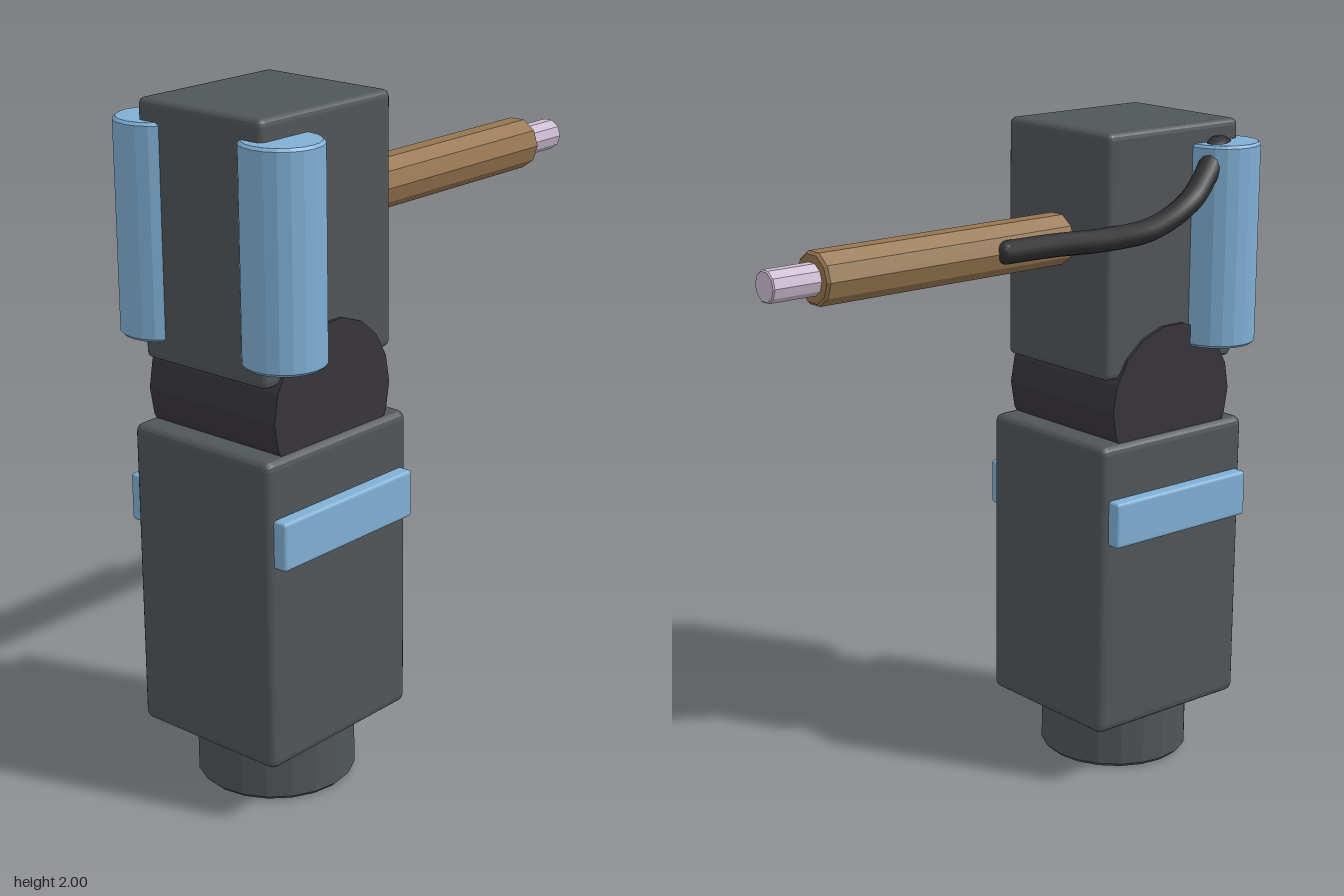
import * as THREE from 'three';
import { RoundedBoxGeometry } from 'three/addons/geometries/RoundedBoxGeometry.js';

function material(name, color, flat = false) {
  const m = new THREE.MeshStandardMaterial({ color, flatShading: flat });
  m.name = name;
  return m;
}

// Bevelled cylinder along y, centred on its origin
function rod(radius, length, sides, bevel) {
  const h = length / 2;
  const profile = [
    [0, -h], [radius - bevel, -h], [radius, -h + bevel],
    [radius, h - bevel], [radius - bevel, h], [0, h],
  ].map(([x, y]) => new THREE.Vector2(x, y));
  return new THREE.LatheGeometry(profile, sides);
}

export function createModel() {
  const model = new THREE.Group();
  model.name = 'jointedArm';
  const grey = material('casing grey', 0x505558, true);
  const dark = material('joint charcoal', 0x37353b, true);
  const blue = material('accent blue', 0x7fafd4, true);
  const brown = material('barrel bronze', 0x96754f, true);
  const lilac = material('tip lilac', 0xcbbbd0, true);
  const rubber = material('cable black', 0x2f2f32);

  function add(name, geometry, mat, x, y, z) {
    const mesh = new THREE.Mesh(geometry, mat);
    mesh.name = name;
    mesh.position.set(x, y, z);
    model.add(mesh);
    return mesh;
  }

  const axisX = -0.495;

  // Foot, lower casing, joint and upper casing
  add('base', rod(0.23, 0.19, 20, 0.012), grey, axisX, 0.095, 0);
  add('lowerCasing', new RoundedBoxGeometry(0.575, 0.91, 0.51, 2, 0.025), grey, -0.4925, 0.63, 0);
  const joint = new THREE.CylinderGeometry(0.235, 0.235, 0.47, 18);
  joint.rotateX(Math.PI / 2).rotateZ(Math.PI / 2);
  add('elbowJoint', joint, dark, axisX, 1.18, 0);
  add('upperCasing', new RoundedBoxGeometry(0.515, 0.725, 0.45, 2, 0.02), grey, -0.4955, 1.6375, 0);

  // Mirrored side tanks and raised bands
  for (const side of [1, -1]) {
    const prefix = side > 0 ? 'front' : 'back';
    add(prefix + 'Canister', rod(0.115, 0.605, 20, 0.008), blue, -0.68, 1.6375, side * 0.23);
    add(prefix + 'Band', new RoundedBoxGeometry(0.53, 0.14, 0.07, 2, 0.01), blue, -0.495, 0.85, side * 0.26);
  }

  // Barrel and its tip point along +x
  const barrel = rod(0.078, 0.935, 10, 0.008).rotateZ(-Math.PI / 2);
  add('barrel', barrel, brown, 0.1675, 1.668, 0);
  const tip = rod(0.047, 0.2, 10, 0.004).rotateZ(-Math.PI / 2);
  add('barrelTip', tip, lilac, 0.69, 1.668, 0);

  // Cable from the barrel round to the back canister
  const path = new THREE.CatmullRomCurve3([
    [0.01, 1.67, -0.07], [-0.1, 1.685, -0.135], [-0.24, 1.7, -0.225],
    [-0.35, 1.725, -0.285], [-0.47, 1.79, -0.31], [-0.57, 1.86, -0.28],
    [-0.64, 1.925, -0.25], [-0.68, 1.92, -0.23],
  ].map((p) => new THREE.Vector3(...p)));
  add('cable', new THREE.TubeGeometry(path, 40, 0.035, 10), rubber, 0, 0, 0);
  const end = path.getPoint(0);
  add('cableEnd', new THREE.SphereGeometry(0.035, 10, 8), rubber, end.x, end.y, end.z);

  return model;
}
